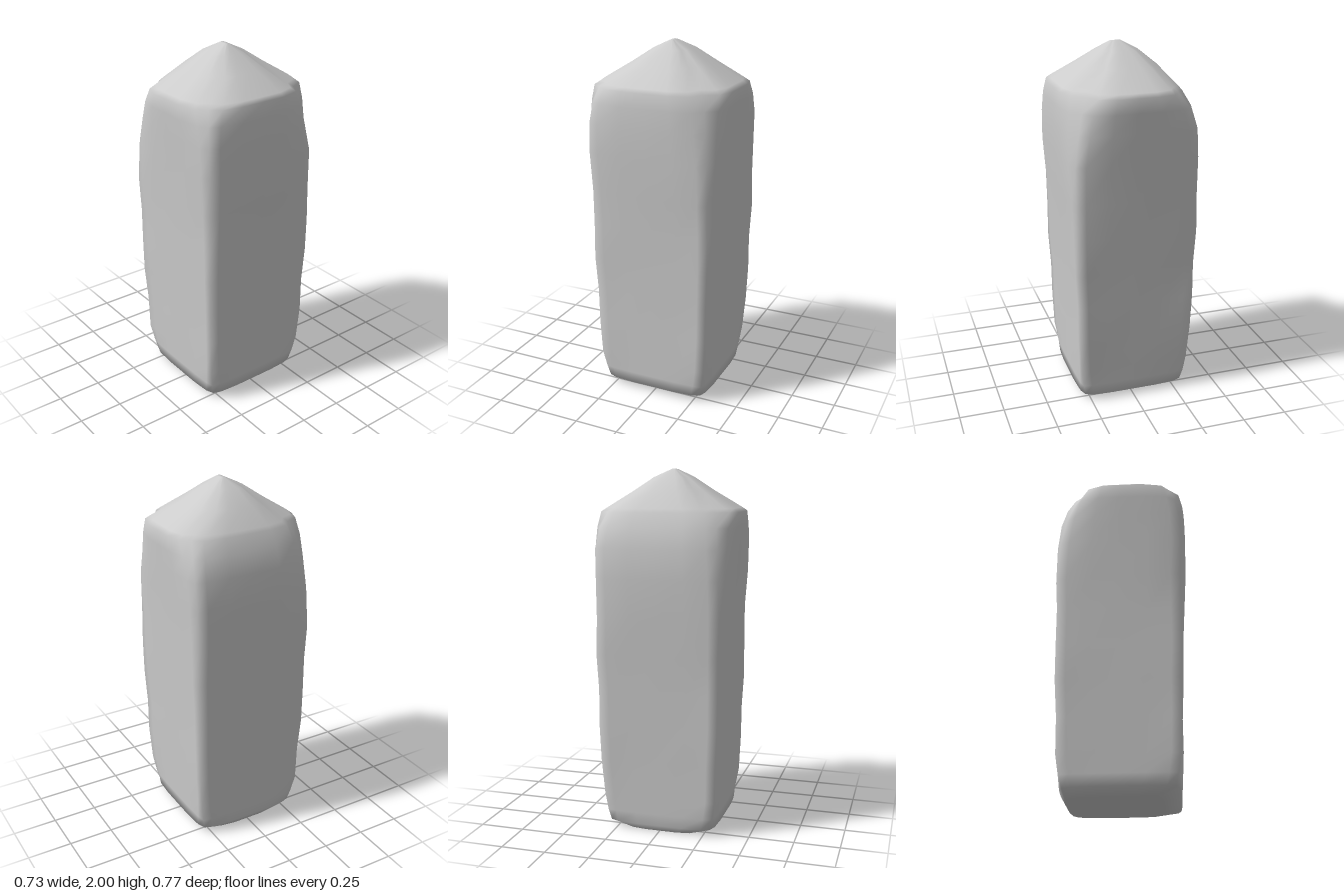
import * as THREE from 'three';

// Horizontal sections of the stone: height, right (-x), left (+x), back (-z), front (+z), corner fullness
const SECTIONS = [
  [0.0, 0.3, 0.21, 0.22, 0.23, 0.88],
  [0.035, 0.32, 0.305, 0.312, 0.312, 0.92],
  [0.1, 0.322, 0.307, 0.314, 0.314, 0.96],
  [0.2, 0.324, 0.309, 0.318, 0.317, 1.0],
  [0.4, 0.328, 0.314, 0.325, 0.323, 1.01],
  [0.6, 0.334, 0.319, 0.332, 0.329, 1.01],
  [0.8, 0.341, 0.327, 0.339, 0.336, 1.0],
  [1.0, 0.349, 0.336, 0.347, 0.343, 0.985],
  [1.2, 0.359, 0.348, 0.355, 0.352, 0.96],
  [1.42, 0.368, 0.361, 0.365, 0.364, 0.93],
  [1.58, 0.358, 0.365, 0.374, 0.374, 0.89],
  [1.69, 0.33, 0.362, 0.38, 0.38, 0.84],
  [1.77, 0.29, 0.355, 0.384, 0.384, 0.77],
  [1.79, 0.277, 0.335, 0.358, 0.358, 0.75],
  [1.88, 0.195, 0.212, 0.215, 0.215, 0.73],
  [1.955, 0.105, 0.105, 0.105, 0.105, 0.75],
  [2.0, 0.02, 0.04, 0.012, 0.012, 0.8],
];

// Fullness of the upper corners: front left, front right, back right, back left
const UPPER_CORNERS = [1.04, 0.95, 1.05, 0.93];

// One quarter of a section outline, from side middle to just before the next one
function quarter(c) {
  const m = 1 - (1 - c) * 0.3;
  return [[1, 0], [1, 0.45 * c], [m, 0.84 * c], [c, c], [0.84 * c, m], [0.45 * c, 1]];
}

function sectionRing([y, right, left, back, front, full], level) {
  const points = [];
  // the corners grow uneven towards the top
  const uneven = THREE.MathUtils.smoothstep(y, 1.3, 1.65);
  UPPER_CORNERS.forEach((corner, k) => {
    const c = full * THREE.MathUtils.lerp(1, corner, uneven);
    quarter(c).forEach(([u, v], i) => {
      // turn the quarter by k right angles
      const [a, b] = [[u, v], [-v, u], [-u, -v], [v, -u]][k];
      // slight chipping along the upright edges
      const chip = y > 0.15 && y < 1.5 && i > 1 && i < 5
        ? 1 + 0.01 * Math.sin(level * 2.3 + k * 1.9) : 1;
      points.push(a * (a > 0 ? left : right) * chip, y, b * (b > 0 ? front : back) * chip);
    });
  });
  return points;
}

function stoneGeometry() {
  const positions = SECTIONS.flatMap(sectionRing);
  const n = 24;
  const last = (SECTIONS.length - 1) * n;
  const index = [];
  for (let r = 0; r < SECTIONS.length - 1; r++) {
    for (let j = 0; j < n; j++) {
      const k = (j + 1) % n;
      const a = r * n + j, b = r * n + k;
      index.push(a, a + n, b, b, a + n, b + n);
    }
  }
  // close the underside and the tip
  const base = positions.length / 3;
  positions.push(-0.03, 0, 0, 0.01, 2, 0);
  for (let j = 0; j < n; j++) {
    const k = (j + 1) % n;
    index.push(base, j, k, base + 1, last + k, last + j);
  }
  const geometry = new THREE.BufferGeometry();
  geometry.setAttribute('position', new THREE.Float32BufferAttribute(positions, 3));
  geometry.setIndex(index);
  geometry.computeVertexNormals();
  return geometry;
}

export function createModel() {
  const group = new THREE.Group();
  group.name = 'standingStone';
  const stone = new THREE.Mesh(stoneGeometry(), new THREE.MeshStandardMaterial({ color: 0xcccccc }));
  stone.name = 'stone';
  group.add(stone);
  return group;
}
